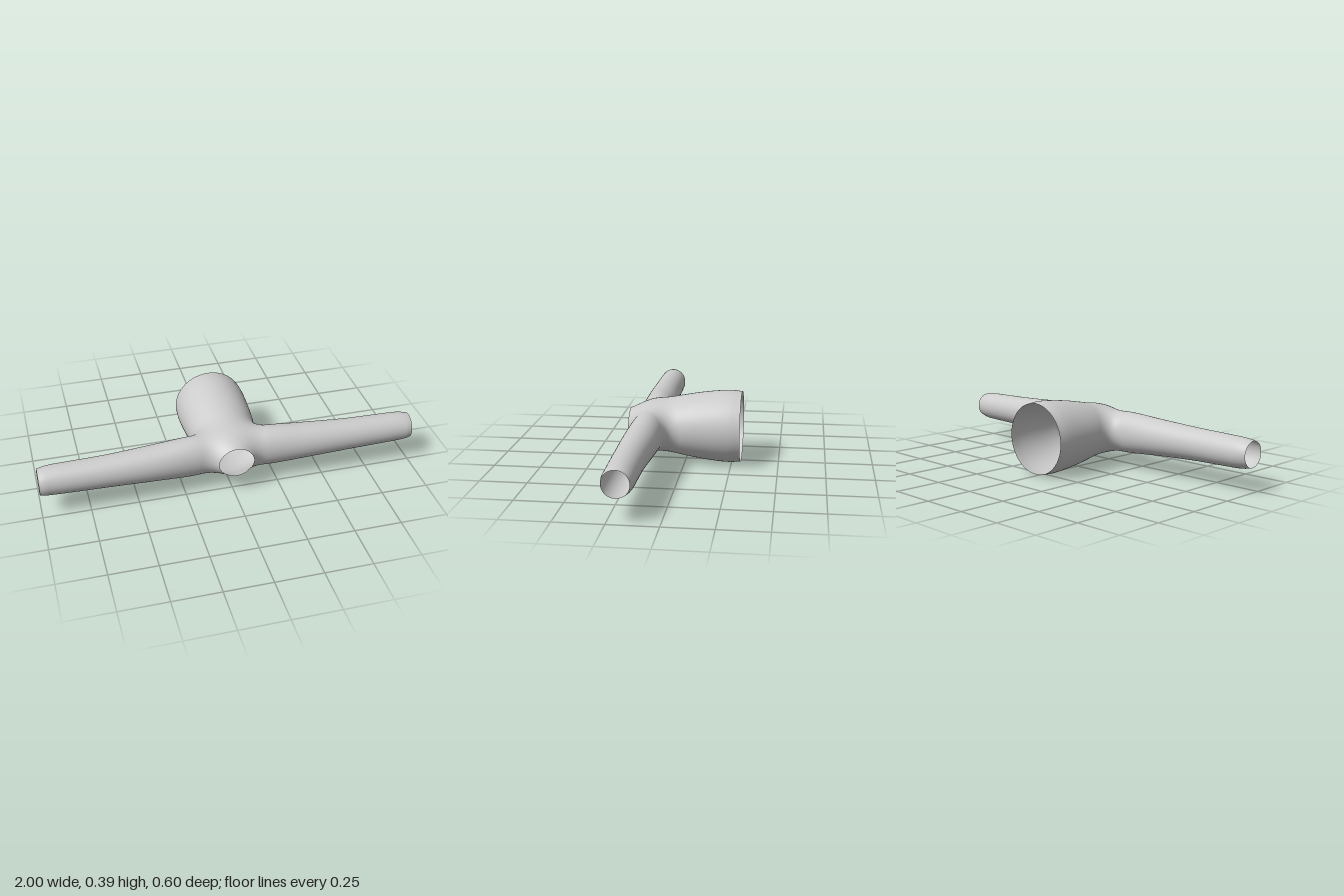
import * as THREE from 'three';

const AXIS_Y = 0.197;
const UP = new THREE.Vector3(0, 1, 0);
const CENTRE = new THREE.Vector3(0.01, AXIS_Y, 0.19);

// Smooth profile through rows of [position, ...values]
function profile(rows) {
  const size = rows[0].length - 1;
  return new THREE.CubicInterpolant(
    new Float32Array(rows.map((r) => r[0])),
    new Float32Array(rows.flatMap((r) => r.slice(1))), size);
}

// Cross pipe along x: distance from middle, height radius, depth radius, centre z
const armProfile = profile([
  [-0.2, 0.11, 0.09, 0.182], [0, 0.1, 0.09, 0.17], [0.2, 0.11, 0.09, 0.182],
  [0.4, 0.098, 0.089, 0.19], [0.65, 0.085, 0.081, 0.197], [0.85, 0.08, 0.078, 0.197],
  [0.94, 0.077, 0.076, 0.197], [0.975, 0.073, 0.073, 0.199], [1, 0.067, 0.067, 0.2],
]);

// Main pipe along z: position, height radius, width radius
const neckProfile = profile([
  [-0.3, 0.188, 0.188], [-0.24, 0.193, 0.192], [-0.1, 0.18, 0.187], [0, 0.163, 0.178],
  [0.1, 0.142, 0.158], [0.2, 0.112, 0.12], [0.25, 0.097, 0.1], [0.3, 0.082, 0.084],
]);

const ellipse = (u, v, a, b) => (Math.hypot(u / a, v / b) - 1) * Math.min(a, b);

// Both pipes merged with a soft fillet; negative inside
function field(p) {
  const y = p.y - AXIS_Y;
  const [ah, ad, az] = armProfile.evaluate(Math.min(Math.abs(p.x), 1));
  const arm = ellipse(p.z - az, y, ad, ah);
  const [nh, nw] = neckProfile.evaluate(THREE.MathUtils.clamp(p.z, -0.3, 0.3));
  const neck = ellipse(p.x - 0.01, y, nw, nh);
  const k = 0.08;
  const h = Math.max(k - Math.abs(arm - neck), 0) / k;
  return Math.min(arm, neck) - (h * h * k) / 4;
}

// First point where a ray from inside meets the skin
function hit(origin, dir) {
  const at = (t) => origin.clone().addScaledVector(dir, t);
  let hi = 0.01;
  while (hi < 0.6 && field(at(hi)) < 0) hi += 0.01;
  let lo = hi - 0.01;
  for (let n = 0; n < 14; n++) {
    const mid = (lo + hi) / 2;
    if (field(at(mid)) < 0) lo = mid; else hi = mid;
  }
  return at((lo + hi) / 2);
}

function normalAt(p) {
  const e = 0.002;
  const slope = (axis) => {
    const a = p.clone(), b = p.clone();
    a[axis] += e;
    b[axis] -= e;
    return field(a) - field(b);
  };
  return new THREE.Vector3(slope('x'), slope('y'), slope('z')).normalize();
}

// One open branch, from the mitred seam at the junction to its end ring
function branch(name, axis, end, rings, material) {
  const around = 72;
  const side = UP.clone().cross(axis);
  const positions = [], normals = [], index = [];
  for (let i = 0; i <= rings; i++) {
    const s = i / rings;
    const origin = CENTRE.clone().lerp(end, s);
    for (let j = 0; j <= around; j++) {
      const t = (j / around) * Math.PI * 2;
      const c = Math.cos(t);
      const quadrant = axis.clone().addScaledVector(side, c < 0 ? -1 : 1);
      const seam = quadrant.z > 0
        ? new THREE.Vector3(Math.sign(quadrant.x) * 0.11, 0, 0.07)
        : new THREE.Vector3(Math.sign(quadrant.x) * 0.2, 0, -0.15);
      const seamDir = seam.normalize().multiplyScalar(Math.abs(c)).addScaledVector(UP, Math.sin(t));
      const ringDir = side.clone().multiplyScalar(c).addScaledVector(UP, Math.sin(t));
      const p = hit(origin, seamDir.lerp(ringDir, s).normalize());
      positions.push(p.x, p.y, p.z);
      normals.push(...normalAt(p).toArray());
      if (i < rings && j < around) {
        const a = i * (around + 1) + j, d = a + around + 1;
        index.push(a, a + 1, d, a + 1, d + 1, d);
      }
    }
  }
  const geometry = new THREE.BufferGeometry();
  geometry.setAttribute('position', new THREE.Float32BufferAttribute(positions, 3));
  geometry.setAttribute('normal', new THREE.Float32BufferAttribute(normals, 3));
  geometry.setIndex(index);
  const mesh = new THREE.Mesh(geometry, material);
  mesh.name = name;
  return mesh;
}

export function createModel() {
  const V = (x, y, z) => new THREE.Vector3(x, y, z);
  const material = new THREE.MeshStandardMaterial({ color: 0xcccccc, side: THREE.DoubleSide });
  const group = new THREE.Group();
  group.name = 'pipeJunction';
  group.add(
    branch('leftArm', V(1, 0, 0), V(1, AXIS_Y, 0.2), 60, material),
    branch('rightArm', V(-1, 0, 0), V(-1, AXIS_Y, 0.2), 60, material),
    branch('backNeck', V(0, 0, -1), V(0.01, AXIS_Y, -0.3), 36, material),
    branch('frontNozzle', V(0, 0, 1), V(0.01, AXIS_Y, 0.3), 18, material),
  );
  return group;
}
